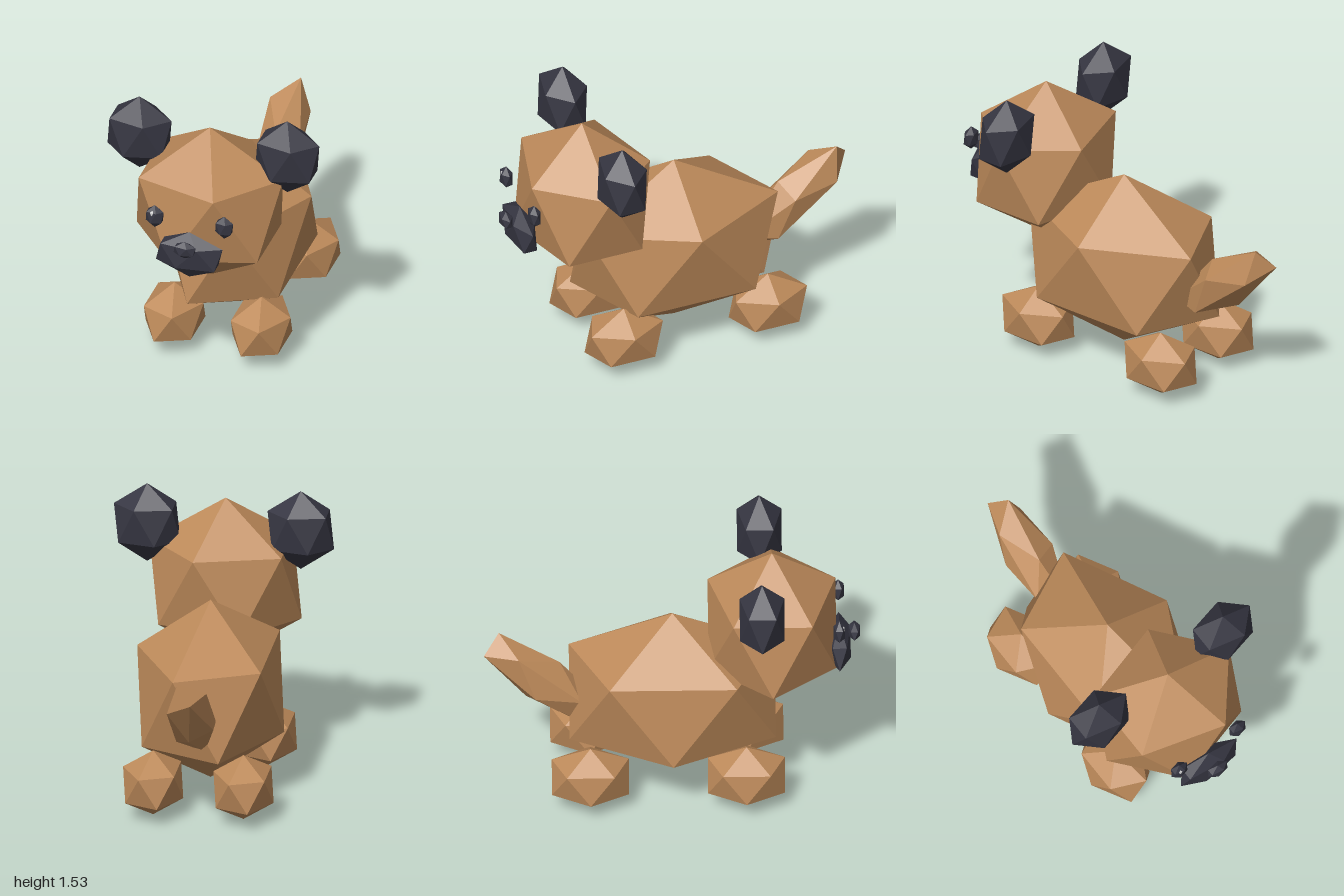
import * as THREE from 'three';

// Unit icosahedron standing on a vertex: two poles and two staggered rings of five
function icoGeometry() {
  const h = 1 / Math.sqrt(5), r = 2 * h;
  const ring = (y, offset) => Array.from({ length: 5 }, (_, i) => {
    const a = (i + offset) * Math.PI * 2 / 5;
    return new THREE.Vector3(r * Math.cos(a), y, r * Math.sin(a));
  });
  const up = ring(h, 0), low = ring(-h, 0.5);
  const top = new THREE.Vector3(0, 1, 0), bottom = new THREE.Vector3(0, -1, 0);
  const points = [];
  for (let i = 0; i < 5; i++) {
    const j = (i + 1) % 5;
    points.push(top, up[j], up[i]);
    points.push(up[i], up[j], low[i]);
    points.push(low[i], up[j], low[j]);
    points.push(bottom, low[i], low[j]);
  }
  const geometry = new THREE.BufferGeometry().setFromPoints(points);
  geometry.computeVertexNormals();
  return geometry;
}

export function createModel() {
  const model = new THREE.Group();
  model.name = 'dog';

  const material = (color) => new THREE.MeshStandardMaterial({ color, flatShading: true });
  const fur = material(0xbd8a5a);
  const dark = material(0x363642);
  const white = material(0xffffff);

  const ico = icoGeometry();
  // One faceted ball: centre and radii along x, y, z
  function ball(name, mat, position, radii) {
    const mesh = new THREE.Mesh(ico, mat);
    mesh.name = name;
    mesh.position.set(...position);
    mesh.scale.set(...radii);
    model.add(mesh);
    return mesh;
  }

  // Body and head
  ball('body', fur, [0, 0.567, 0], [0.442, 0.502, 0.645]);
  ball('head', fur, [0, 0.997, 0.53], [0.457, 0.457, 0.4]);

  // Tail, slanting up to the back
  ball('tail', fur, [0, 0.652, -0.689], [0.139, 0.141, 0.417]).rotation.x = 0.69;

  // Snout and nose
  ball('snout', dark, [0, 0.872, 0.888], [0.208, 0.138, 0.071]);
  ball('nose', dark, [0, 0.945, 0.968], [0.069, 0.05, 0.036]);

  // Paws, ears and eyes on both sides
  for (const [side, s] of [['left', 1], ['right', -1]]) {
    ball(side + 'FrontPaw', fur, [s * 0.243, 0.182, 0.39], [0.181, 0.181, 0.241]);
    ball(side + 'BackPaw', fur, [s * 0.243, 0.182, -0.44], [0.181, 0.181, 0.241]);
    ball(side + 'Ear', dark, [s * 0.413, 1.315, 0.47], [0.2, 0.22, 0.14]);
    ball(side + 'Eye', dark, [s * 0.194, 1.073, 0.885], [0.056, 0.068, 0.036]);
    ball(side + 'EyeGlint', white, [s * 0.2, 1.095, 0.903], [0.018, 0.02, 0.012]);
  }

  return model;
}
